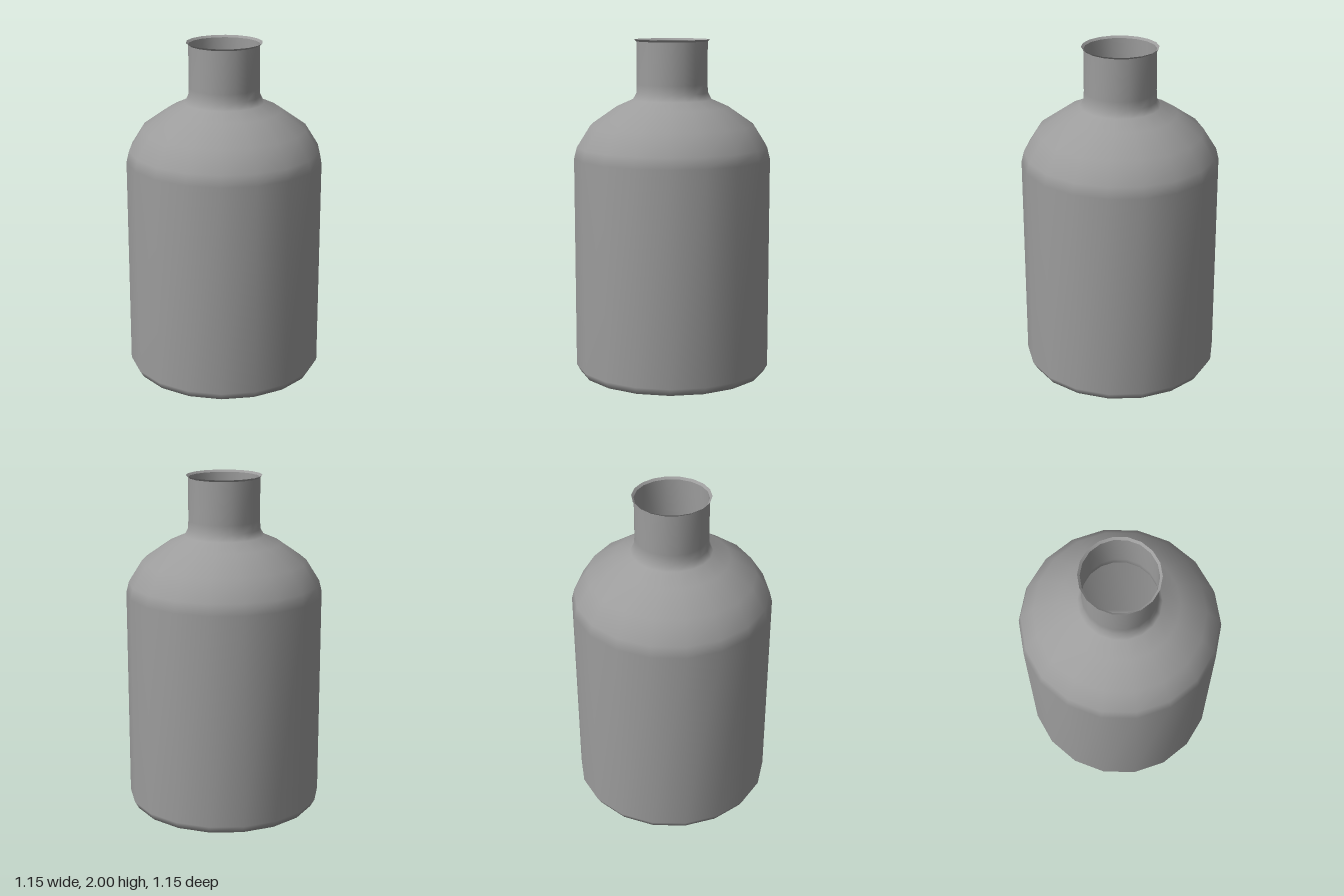
import * as THREE from 'three';
import { mergeVertices } from 'three/addons/utils/BufferGeometryUtils.js';

const SIDES = 18;
const DEPTH = 1.012; // cross-section is very slightly deeper than wide

export function createModel() {
  const group = new THREE.Group();
  group.name = 'bottle';
  // Thin-walled vessel, open at the mouth
  const material = new THREE.MeshStandardMaterial({ color: 0x9c9c9c, side: THREE.DoubleSide });

  // Revolve a [radius, height] profile with a corner on the x axis
  const revolve = (name, profile) => {
    const points = profile.map(([r, y]) => new THREE.Vector2(r, y));
    const lathe = new THREE.LatheGeometry(points, SIDES, Math.PI / 2);
    // Mirror so the quads split along the other diagonal, and keep faces outward
    lathe.scale(-1, 1, DEPTH);
    lathe.index.array.reverse();
    // Weld the seam and smooth by face area
    lathe.deleteAttribute('uv');
    lathe.deleteAttribute('normal');
    const geometry = mergeVertices(lathe);
    geometry.computeVertexNormals();
    const mesh = new THREE.Mesh(geometry, material);
    mesh.name = name;
    group.add(mesh);
  };

  // Slightly domed base, straight wall, rounded shoulder and neck
  revolve('body', [
    [0, 0], [0.55, 0.015], [0.576, 0.06], [0.576, 1.31],
    [0.56, 1.375], [0.482, 1.5], [0.332, 1.605], [0.232, 1.65],
    [0.211, 1.69], [0.208, 1.74], [0.208, 1.988],
  ]);

  // Narrow flared lip around the mouth
  revolve('lip', [[0.208, 1.988], [0.221, 2]]);

  return group;
}
